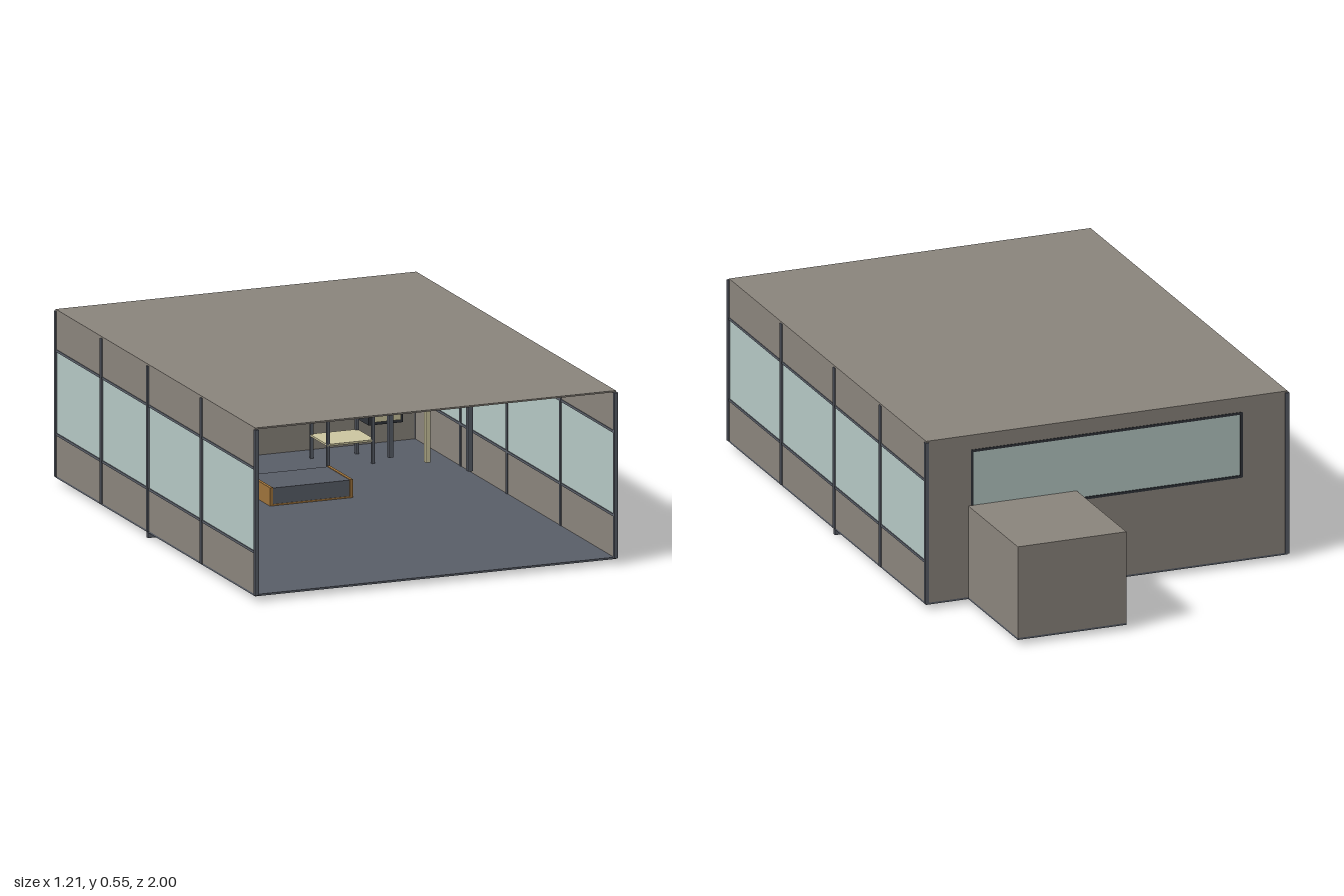
import * as THREE from 'three';

const mat = (name, color) => {
  const m = new THREE.MeshStandardMaterial({ color });
  m.name = name;
  return m;
};

export function createModel() {
  const root = new THREE.Group();
  root.name = 'room';
  const wall = mat('taupe panel', 0x8c867e);
  const metal = mat('slate metal', 0x5a5f69);
  const glass = mat('pale glass', 0xb8cbc7);
  const wood = mat('warm wood', 0xa0743c);
  const cream = mat('cream', 0xcfc8a2);
  const dark = mat('dark trim', 0x30343a);

  // Box given by its limits on each axis
  const box = (name, m, x0, x1, y0, y1, z0, z1, parent = root) => {
    const mesh = new THREE.Mesh(new THREE.BoxGeometry(x1 - x0, y1 - y0, z1 - z0), m);
    mesh.position.set((x0 + x1) / 2, (y0 + y1) / 2, (z0 + z1) / 2);
    mesh.name = name;
    parent.add(mesh);
    return mesh;
  };
  const group = (name) => {
    const g = new THREE.Group();
    g.name = name;
    root.add(g);
    return g;
  };

  // Shell: floor, roof and rear compartment
  box('floor', metal, -0.6, 0.6, 0.016, 0.022, -0.6, 0.99);
  box('floorCrossbar', metal, -0.602, 0.602, 0, 0.016, 0.13, 0.142);
  box('roof', wall, -0.6, 0.6, 0.545, 0.55, -0.6, 0.99);
  box('rearCompartment', wall, 0.1, 0.46, 0.022, 0.32, -1, -0.6);
  box('rearCompartmentFloor', metal, 0.1, 0.46, 0.016, 0.022, -1, -0.6);

  // Side walls: two panels, a window band, rails and posts
  for (const s of [-1, 1]) {
    const side = group(s > 0 ? 'leftWall' : 'rightWall');
    const plate = (name, m, y0, y1, z0, z1, t, x = 0.597) =>
      box(name, m, s * x - t / 2, s * x + t / 2, y0, y1, z0, z1, side);
    plate('lowerPanel', wall, 0.022, 0.155, -0.6, 0.99, 0.006);
    plate('upperPanel', wall, 0.42, 0.546, -0.6, 0.99, 0.006);
    plate('sideWindow', glass, 0.155, 0.42, -0.6, 0.99, 0.004);
    for (const y of [0.155, 0.42]) plate('windowRail', metal, y - 0.004, y + 0.004, -0.6, 0.99, 0.01);
    for (const z of [0.993, 0.565, 0.138, -0.232, -0.598])
      plate('post', metal, 0.02, 0.545, z - 0.006, z + 0.006, 0.013, 0.598);
  }

  // Rear wall around its window
  const rear = group('rearWall');
  box('rearLower', wall, -0.595, 0.595, 0.022, 0.29, -0.6, -0.594, rear);
  box('rearUpper', wall, -0.595, 0.595, 0.5, 0.546, -0.6, -0.594, rear);
  for (const s of [-1, 1])
    box('rearSide', wall, s * 0.5225 - 0.0725, s * 0.5225 + 0.0725, 0.29, 0.5, -0.6, -0.594, rear);
  box('rearWindow', glass, -0.45, 0.45, 0.29, 0.5, -0.599, -0.595, rear);
  for (const y of [0.292, 0.498])
    box('rearWindowTrim', dark, -0.45, 0.45, y - 0.004, y + 0.004, -0.602, -0.588, rear);
  for (const x of [-0.447, 0.447])
    box('rearWindowTrim', dark, x - 0.004, x + 0.004, 0.29, 0.5, -0.602, -0.588, rear);

  // Freestanding hoops, one behind the other
  const hoop = (name, m, half, top, w, z) => {
    const g = group(name);
    box('hoopTop', m, -half, half, top - w, top, z - w / 2, z + w / 2, g);
    for (const s of [-1, 1])
      box('hoopLeg', m, s * (half - w / 2) - w / 2, s * (half - w / 2) + w / 2, 0.04, top - w, z - w / 2, z + w / 2, g);
  };
  hoop('outerHoop', metal, 0.577, 0.513, 0.016, -0.1);
  hoop('handrail', cream, 0.498, 0.464, 0.015, -0.25);
  hoop('innerHoop', metal, 0.417, 0.413, 0.016, -0.35);

  // Framed shelving and stool: four posts, shelves and a top
  const rack = (name, x0, x1, top, z0, z1, shelves, topMat) => {
    const g = group(name);
    for (const x of [x0, x1 - 0.01])
      for (const z of [z0, z1 - 0.01]) box('leg', metal, x, x + 0.01, 0.022, top - 0.012, z, z + 0.01, g);
    for (const y of shelves) box('shelf', cream, x0, x1, y - 0.003, y + 0.003, z0, z1, g);
    box('top', topMat, x0 - 0.002, x1 + 0.002, top - 0.012, top, z0, z1, g);
  };
  rack('shelving', -0.413, -0.15, 0.3, -0.56, -0.44, [0.08, 0.152, 0.226], metal);
  rack('stool', 0.203, 0.363, 0.255, -0.5, -0.36, [0.095], wood);

  // Wheel with a thin curved bar
  const wheel = group('wheel');
  wheel.position.set(-0.21, 0.302, -0.41);
  const rim = new THREE.Mesh(new THREE.TorusGeometry(0.08, 0.008, 10, 40), wood);
  rim.name = 'wheelRim';
  const arc = new THREE.QuadraticBezierCurve3(
    new THREE.Vector3(-0.075, -0.005, 0), new THREE.Vector3(0, 0.032, 0), new THREE.Vector3(0.075, -0.005, 0));
  const bar = new THREE.Mesh(new THREE.TubeGeometry(arc, 16, 0.003, 6), dark);
  bar.name = 'wheelBar';
  wheel.add(rim, bar);

  // Low chest with wooden edging
  const chest = group('chest');
  box('chestBody', metal, -0.128, 0.128, 0.023, 0.078, -0.18, 0.0, chest);
  for (const s of [-1, 1]) box('chestEnd', wood, s * 0.133 - 0.005, s * 0.133 + 0.005, 0.022, 0.08, -0.182, 0.002, chest);
  box('chestBase', wood, -0.13, 0.13, 0.022, 0.027, -0.182, 0.002, chest);

  // Framed cream cabinet against the rear corner
  const cabinet = group('cabinet');
  box('cabinetFrame', dark, 0.4, 0.515, 0.105, 0.28, -0.594, -0.5, cabinet);
  box('cabinetDoor', cream, 0.41, 0.505, 0.115, 0.272, -0.5, -0.494, cabinet);
  box('cabinetStrap', wood, 0.41, 0.505, 0.187, 0.195, -0.494, -0.49, cabinet);

  // Wall ledge and small wooden brackets
  box('ledge', wood, -0.535, -0.415, 0.31, 0.335, -0.3, -0.2);
  for (const s of [-1, 1]) box('bracket', wood, s * 0.478 - 0.008, s * 0.478 + 0.008, 0.33, 0.4, -0.594, -0.56);

  return root;
}
